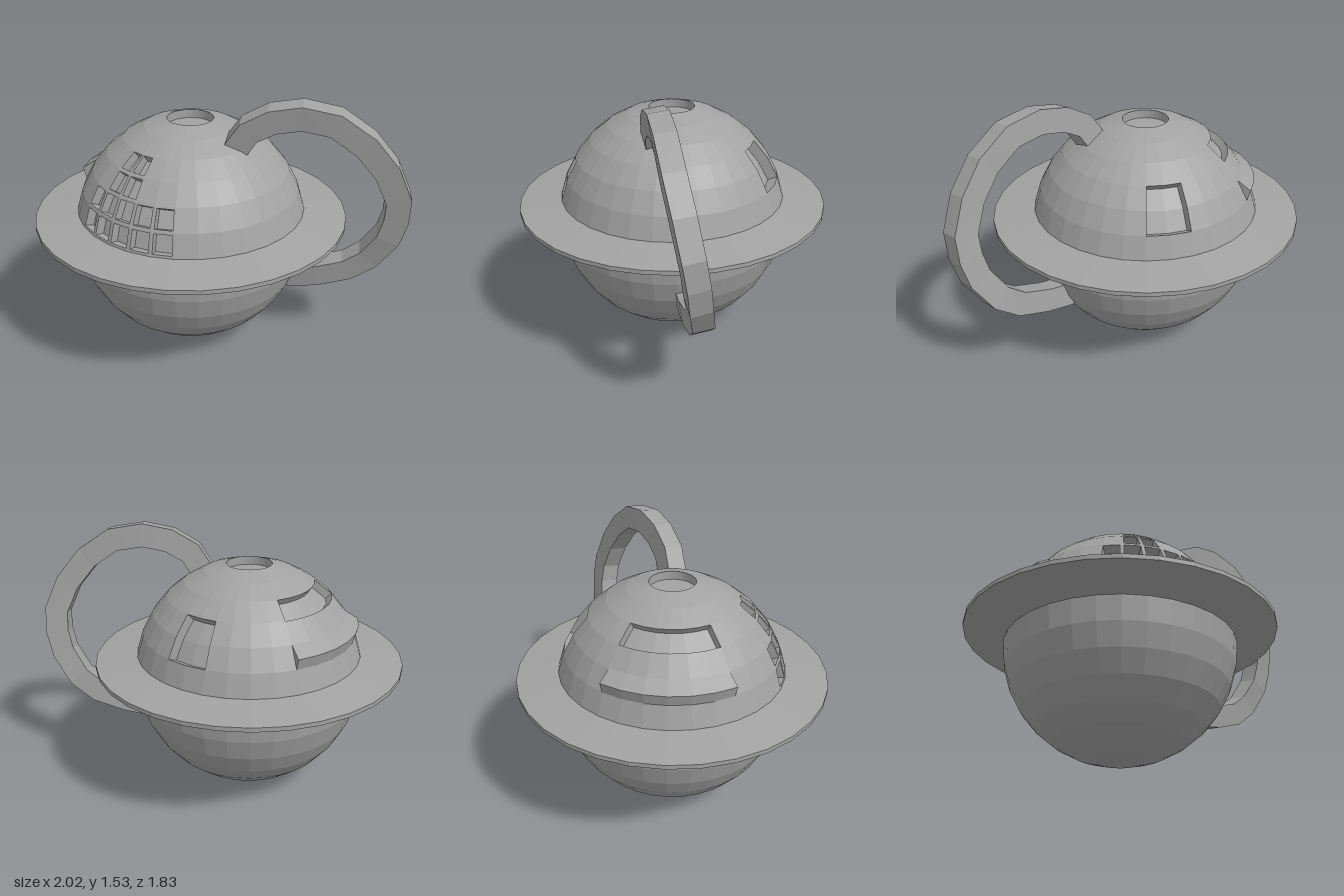
import * as THREE from 'three';

const R = 0.68, CX = -0.087, SEG = 32;
const gray = new THREE.MeshStandardMaterial({ color: 0xa2a2a2, flatShading: true });
gray.name = 'gray';

// Collects quads (corners counter-clockwise from outside) into a faceted geometry
function facets() {
  const pos = [];
  return {
    quad(a, b, c, d) { for (const p of [a, b, c, a, c, d]) pos.push(p.x, p.y, p.z); },
    tri(a, b, c) { for (const p of [a, b, c]) pos.push(p.x, p.y, p.z); },
    mesh(name) {
      const g = new THREE.BufferGeometry();
      g.setAttribute('position', new THREE.Float32BufferAttribute(pos, 3));
      g.computeVertexNormals();
      return named(g, name);
    },
  };
}

function named(geometry, name) {
  const m = new THREE.Mesh(geometry, gray);
  m.name = name;
  return m;
}

// Point on the faceted ball: a = meridian step from -x towards +z, k = latitude step
function corner(a, k) {
  const t = a * Math.PI * 2 / SEG, p = k * Math.PI / 16;
  return new THREE.Vector3(-Math.cos(p) * Math.cos(t), Math.sin(p), Math.cos(p) * Math.sin(t)).multiplyScalar(R);
}
function at(a, k, s = 1) {
  const a0 = Math.floor(a), k0 = Math.floor(k);
  const low = corner(a0, k0).lerp(corner(a0 + 1, k0), a - a0);
  const high = corner(a0, k0 + 1).lerp(corner(a0 + 1, k0 + 1), a - a0);
  const v = low.lerp(high, k - k0).multiplyScalar(s);
  v.y += R;
  return v;
}

// Sunken panel with walls, and a flush frame when inset is above zero
function recess(f, a0, a1, k0, k1, depth, inset = 0) {
  const s = 1 - depth / R;
  const pt = (a, k, scale) => at(
    THREE.MathUtils.clamp(a, a0 + inset, a1 - inset),
    THREE.MathUtils.clamp(k, k0 + inset, k1 - inset), scale);
  const loop = [];
  for (let a = a0; a < a1; a++) loop.push([a, k0]);
  for (let k = k0; k < k1; k++) loop.push([a1, k]);
  for (let a = a1; a > a0; a--) loop.push([a, k1]);
  for (let k = k1; k > k0; k--) loop.push([a0, k]);
  loop.forEach((p, i) => {
    const q = loop[(i + 1) % loop.length];
    f.quad(pt(...p, 1), pt(...q, 1), pt(...q, s), pt(...p, s));
    if (inset) f.quad(at(...p), at(...q), pt(...q, 1), pt(...p, 1));
  });
  for (let a = a0; a < a1; a++) for (let k = k0; k < k1; k++)
    f.quad(pt(a, k, s), pt(a + 1, k, s), pt(a + 1, k + 1, s), pt(a, k + 1, s));
}

function buildBall() {
  const g = new THREE.Group();
  g.name = 'ball';
  const openings = [
    { name: 'sideWindow', box: [18, 20, 2, 4], depth: 0.06 },
    { name: 'rearSlot', box: [24, 30, 4, 5], depth: 0.045 },
  ];
  const panes = [[1, 6, 1, 3], [2, 4, 3, 5]];
  const ledge = [24, 30, 2, 3];
  const inside = (a, k, [a0, a1, k0, k1]) => a >= a0 && a < a1 && k >= k0 && k < k1;
  const cut = [...openings.map(o => o.box), ...panes, ledge];

  // Plain shell, left open at the top and where panels sit
  const shell = facets();
  for (let k = -8; k < 7; k++) for (let a = 0; a < SEG; a++)
    if (!cut.some(b => inside(a, k, b)))
      shell.quad(at(a, k), at(a + 1, k), at(a + 1, k + 1), at(a, k + 1));
  g.add(shell.mesh('shell'));

  for (const o of openings) {
    const f = facets();
    recess(f, ...o.box, o.depth);
    g.add(f.mesh(o.name));
  }

  // Grid of small framed windows
  const grid = facets();
  for (const [a0, a1, k0, k1] of panes)
    for (let a = a0; a < a1; a++) for (let k = k0; k < k1; k++)
      recess(grid, a, a + 1, k, k + 1, 0.05, 0.09);
  g.add(grid.mesh('windowGrid'));

  // Overhanging ledge below the rear slot
  const hood = facets();
  const top = a => at(a, 3), tip = a => at(a, 2.38, 1.068), foot = a => at(a, 2);
  for (let a = ledge[0]; a < ledge[1]; a++) {
    hood.quad(foot(a), foot(a + 1), tip(a + 1), tip(a));
    hood.quad(tip(a), tip(a + 1), top(a + 1), top(a));
  }
  hood.tri(top(24), foot(24), tip(24));
  hood.tri(top(30), tip(30), foot(30));
  g.add(hood.mesh('rearLedge'));
  return g;
}

const lathe = (pts, name) =>
  named(new THREE.LatheGeometry(pts.map(p => new THREE.Vector2(...p)), SEG), name);

// Square bar swept along a bent path
function buildArm() {
  const path = [
    [0.09, 1.23, 0.25], [0.16, 1.36, 0.30], [0.27, 1.43, 0.36], [0.41, 1.46, 0.43],
    [0.57, 1.43, 0.51], [0.72, 1.32, 0.575], [0.84, 1.17, 0.61], [0.92, 1.0, 0.62],
    [0.93, 0.87, 0.60], [0.91, 0.74, 0.57], [0.84, 0.59, 0.50], [0.74, 0.50, 0.44],
    [0.58, 0.44, 0.36], [0.43, 0.41, 0.28],
  ].map(p => new THREE.Vector3(...p));
  const f = facets();
  const rings = path.map((p, i) => {
    const t = path[Math.min(i + 1, path.length - 1)].clone().sub(path[Math.max(i - 1, 0)]).normalize();
    const n = new THREE.Vector3(-0.4, -0.12, 0.9);
    n.addScaledVector(t, -n.dot(t)).normalize();
    const u = n.clone().cross(t);
    return [[1, 1], [-1, 1], [-1, -1], [1, -1]].map(([x, y]) =>
      p.clone().addScaledVector(u, x * 0.068).addScaledVector(n, y * 0.058));
  });
  for (let i = 0; i + 1 < rings.length; i++) for (let j = 0; j < 4; j++) {
    const m = (j + 1) % 4;
    f.quad(rings[i][j], rings[i][m], rings[i + 1][m], rings[i + 1][j]);
  }
  f.quad(...[...rings[0]].reverse());
  f.quad(...rings[rings.length - 1]);
  return f.mesh('handle');
}

export function createModel() {
  const model = new THREE.Group();
  model.name = 'ringedBall';
  const body = new THREE.Group();
  body.name = 'body';
  body.position.x = CX;
  body.add(buildBall());
  // Flat ring around the middle
  body.add(lathe([[0.66, 0.68], [0.913, 0.755], [0.913, 0.78], [0.655, 0.812]], 'ring'));
  // Shallow round well in the top
  const rim = R * Math.sin(Math.PI / 16), topY = R + R * Math.cos(Math.PI / 16);
  body.add(lathe([[rim, topY], [rim, topY - 0.05], [0, topY - 0.05]], 'topWell'));
  model.add(body, buildArm());
  return model;
}
